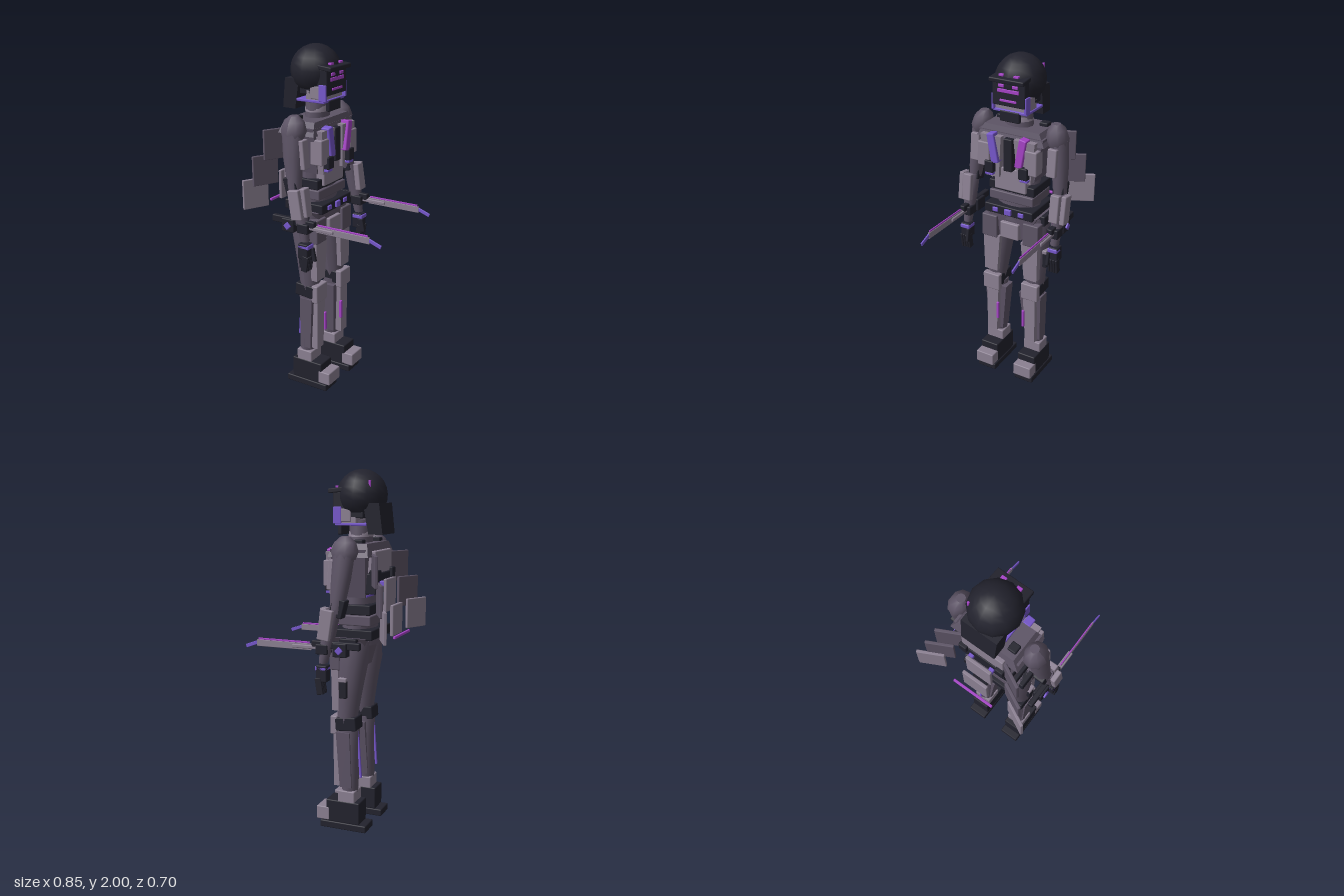
import * as THREE from 'three';
import { RoundedBoxGeometry } from 'three/addons/geometries/RoundedBoxGeometry.js';

// The figure faces +x; its sides lie along z.
export function createModel() {
  const root = new THREE.Group();
  root.name = 'armouredFigure';
  const mat = (name, color) => {
    const m = new THREE.MeshStandardMaterial({ color, side: THREE.DoubleSide });
    m.name = name;
    return m;
  };
  const light = mat('paleArmour', 0x8b8092);
  const mid = mat('greySuit', 0x5d5466);
  const dark = mat('darkArmour', 0x22222d);
  const violet = mat('violetTrim', 0x7657cc);
  const magenta = mat('magentaGlow', 0xa542c6);

  let parent = root, s = 1; // s mirrors z
  const group = (name, fn) => {
    const old = parent;
    parent = new THREE.Group();
    parent.name = name;
    old.add(parent);
    fn();
    parent = old;
  };
  const add = (name, m, geo) => {
    const mesh = new THREE.Mesh(geo, m);
    mesh.name = name;
    parent.add(mesh);
    return mesh;
  };
  // Bevelled box from its extents, turned about its centre
  const box = (name, m, [x0, x1], [y0, y1], [z0, z1], [rx, ry, rz] = [0, 0, 0]) => {
    const w = x1 - x0, h = y1 - y0, d = z1 - z0;
    const mesh = add(name, m, new RoundedBoxGeometry(w, h, d, 1, Math.min(0.006, Math.min(w, h, d) * 0.25)));
    mesh.position.set((x0 + x1) / 2, (y0 + y1) / 2, s * (z0 + z1) / 2);
    mesh.rotation.set(s * rx, s * ry, rz);
    return mesh;
  };
  // Tapered block: [y, x0, x1, z0, z1] for top and bottom
  const taper = (name, m, top, bottom) => {
    const g = new THREE.BoxGeometry(1, 1, 1).toNonIndexed(), p = g.attributes.position;
    for (let i = 0; i < p.count; i++) {
      const [y, x0, x1, z0, z1] = p.getY(i) > 0 ? top : bottom;
      const far = p.getZ(i) * s > 0;
      p.setXYZ(i, p.getX(i) > 0 ? x1 : x0, y, s * (far ? z1 : z0));
    }
    g.computeVertexNormals();
    return add(name, m, g);
  };
  // Oval limb through rings [x, y, z, rx, rz], top to bottom
  const loft = (name, m, rings, sides = 12) => {
    const n = rings.length - 1;
    const g = new THREE.CylinderGeometry(1, 1, 1, sides, n), p = g.attributes.position;
    for (let i = 0; i < p.count; i++) {
      const [x, y, z, rx, rz] = rings[Math.round((0.5 - p.getY(i)) * n)];
      p.setXYZ(i, x + p.getX(i) * rx, y, s * z + p.getZ(i) * rz);
    }
    g.computeVertexNormals();
    return add(name, m, g);
  };
  const sides = (name, fn) => {
    for (s of [1, -1]) group((s > 0 ? 'near' : 'far') + name, fn);
    s = 1;
  };

  group('head', () => {
    const shell = add('helmet', dark, new THREE.SphereGeometry(0.14, 12, 9, 0, Math.PI * 2, 0, Math.PI * 0.72));
    shell.position.set(-0.157, 1.86, 0);
    taper('neckGuard', dark, [1.82, -0.29, -0.2, -0.105, 0.105], [1.655, -0.31, -0.23, -0.1, 0.1]);
    box('brim', dark, [-0.09, 0.003], [1.875, 1.9], [-0.105, 0.105], [0, 0, -0.1]);
    box('face', dark, [-0.2, -0.025], [1.74, 1.88], [-0.1, 0.1]);
    box('jaw', light, [-0.16, -0.05], [1.7, 1.77], [-0.1, 0.1]);
    box('mouthGuard', dark, [-0.06, -0.035], [1.65, 1.71], [-0.06, 0.06]);
    box('chinTrim', violet, [-0.22, -0.04], [1.7, 1.715], [-0.105, 0.105]);
    box('visorStrip', magenta, [-0.03, -0.019], [1.815, 1.835], [-0.065, 0.065]);
    box('mouthStrip', magenta, [-0.03, -0.019], [1.765, 1.778], [-0.05, 0.05]);
    box('antenna', magenta, [-0.241, -0.229], [1.85, 1.94], [-0.1, -0.088]);
    loft('neck', mid, [[-0.15, 1.73, 0, 0.06, 0.07], [-0.15, 1.58, 0, 0.065, 0.085]]);
    loft('collar', light, [[-0.15, 1.67, 0, 0.063, 0.073], [-0.15, 1.64, 0, 0.067, 0.08]]);
    sides('FaceTrim', () => {
      box('cheekTrim', violet, [-0.075, -0.028], [1.71, 1.8], [0.093, 0.107]);
      box('eye', magenta, [-0.032, -0.017], [1.843, 1.86], [0.025, 0.06]);
      box('browLight', magenta, [-0.045, -0.022], [1.9, 1.912], [0.03, 0.06]);
      box('cheek', light, [-0.13, -0.07], [1.72, 1.79], [0.085, 0.105]);
    });
  });

  group('torso', () => {
    taper('chest', mid, [1.58, -0.25, -0.05, -0.2, 0.2], [1.32, -0.23, -0.06, -0.145, 0.145]);
    taper('yoke', mid, [1.61, -0.25, -0.06, -0.17, 0.17], [1.54, -0.27, -0.04, -0.21, 0.21]);
    loft('waist', mid, [[-0.15, 1.35, 0, 0.085, 0.13], [-0.15, 1.22, 0, 0.09, 0.13], [-0.15, 1.05, 0, 0.1, 0.14]], 16);
    box('sternum', dark, [-0.06, -0.015], [1.37, 1.56], [-0.027, 0.027]);
    box('abdomen', light, [-0.12, -0.045], [1.24, 1.375], [-0.1, 0.1]);
    box('ribBand', violet, [-0.235, -0.05], [1.32, 1.332], [-0.13, 0.13]);
    box('waistBand', dark, [-0.26, -0.06], [1.225, 1.28], [-0.145, 0.145]);
    box('lowerBand', mid, [-0.26, -0.055], [1.165, 1.22], [-0.14, 0.14]);
    box('belt', dark, [-0.275, -0.025], [1.09, 1.145], [-0.155, 0.155]);
    box('buckle', violet, [-0.03, -0.012], [1.1, 1.135], [-0.022, 0.022]);
    taper('pelvis', mid, [1.1, -0.24, -0.05, -0.17, 0.17], [0.93, -0.2, -0.07, -0.06, 0.06]);
    box('groinPlate', light, [-0.09, -0.035], [0.94, 1.04], [-0.06, 0.06]);
    sides('ChestArmour', () => {
      taper('chestPlate', light, [1.565, -0.07, -0.012, 0.04, 0.17], [1.32, -0.08, -0.025, 0.06, 0.14]);
      box('chestSidePlate', light, [-0.08, -0.005], [1.38, 1.52], [0.11, 0.185]);
      box('chestStrap', s > 0 ? violet : magenta, [-0.05, 0.002], [1.41, 1.58], [0.065, 0.11], [0.18, 0, 0]);
      box('chestPouch', dark, [-0.06, 0.008], [1.35, 1.42], [0.08, 0.135]);
      box('pouchTrim', violet, [-0.055, 0.002], [1.335, 1.35], [0.085, 0.135]);
      box('beltGem', violet, [-0.03, -0.016], [1.105, 1.13], [0.065, 0.1]);
      box('hipPouch', dark, [-0.2, -0.1], [1.04, 1.1], [0.145, 0.195]);
      box('shoulderClip', dark, [-0.22, -0.17], [1.6, 1.63], [0.11, 0.16]);
    });
  });

  group('backpack', () => {
    box('pack', dark, [-0.29, -0.22], [1.34, 1.45], [-0.14, 0.14]);
    box('packTop', light, [-0.285, -0.2], [1.45, 1.57], [-0.13, 0.13]);
    box('upperTailPlate', light, [-0.33, -0.31], [1.24, 1.42], [-0.08, 0.08]);
    box('lowerTailPlate', light, [-0.37, -0.35], [1.11, 1.28], [-0.08, 0.08]);
    box('tailBar', magenta, [-0.4, -0.385], [1.105, 1.12], [-0.13, 0.13]);
    sides('Wing', () => {
      box('wingMount', dark, [-0.305, -0.25], [1.41, 1.47], [0.09, 0.14]);
      box('thruster', violet, [-0.32, -0.285], [1.38, 1.41], [0.05, 0.08]);
      [[-0.3, 1.47, 0.19, mid], [-0.346, 1.325, 0.235, mid], [-0.384, 1.195, 0.28, light]].forEach(([x, y, z, m]) =>
        box('wingPanel', m, [x - 0.009, x + 0.009], [y - 0.085, y + 0.085], [z - 0.077, z + 0.077], [0, -0.47, 0]));
    });
  });

  sides('Arm', () => {
    loft('shoulder', mid, [[-0.15, 1.65, 0.225, 0.025, 0.025], [-0.15, 1.62, 0.23, 0.06, 0.05],
      [-0.15, 1.57, 0.235, 0.075, 0.063], [-0.15, 1.53, 0.24, 0.06, 0.055]], 9);
    loft('upperArm', mid, [[-0.15, 1.56, 0.245, 0.06, 0.05], [-0.14, 1.43, 0.26, 0.055, 0.047], [-0.12, 1.25, 0.275, 0.037, 0.037]]);
    box('armPlate', light, [-0.1, -0.065], [1.37, 1.53], [0.215, 0.27], [0, 0, 0.08]);
    box('elbow', dark, [-0.17, -0.095], [1.23, 1.33], [0.24, 0.305], [0, 0, 0.25]);
    loft('forearm', mid, [[-0.11, 1.27, 0.28, 0.037, 0.037], [-0.08, 1.14, 0.285, 0.042, 0.037], [-0.05, 0.98, 0.288, 0.025, 0.025]]);
    box('forearmPlate', light, [-0.065, -0.03], [1.12, 1.28], [0.255, 0.31], [0, 0, 0.12]);
    box('forearmShield', light, [-0.115, -0.045], [1.11, 1.275], [0.315, 0.345], [0, 0, 0.15]);
    box('forearmLight', magenta, [-0.04, -0.026], [1.12, 1.17], [0.268, 0.284]);
    box('cuff', dark, [-0.085, -0.015], [1.03, 1.085], [0.25, 0.32]);
    box('wristBand', violet, [-0.08, -0.012], [0.94, 0.965], [0.26, 0.32]);
    // Hand with four fingers and a thumb
    box('palm', dark, [-0.08, -0.018], [0.88, 0.97], [0.262, 0.32]);
    for (let i = 0; i < 4; i++)
      box('finger', dark, [-0.055, -0.018], [0.81, 0.9], [0.261 + i * 0.016, 0.274 + i * 0.016], [0, 0, -0.15]);
    box('thumb', dark, [-0.03, 0.0], [0.86, 0.94], [0.258, 0.276], [0, 0, 0.2]);
    // Wrist blade
    group('wristBlade', () => {
      box('bladeStock', dark, [-0.26, 0.015], [1.06, 1.1], [0.27, 0.3]);
      box('bladeHousing', dark, [-0.19, -0.11], [1.02, 1.095], [0.255, 0.312]);
      box('housingGem', violet, [-0.165, -0.132], [1.04, 1.073], [0.308, 0.322], [0, 0, 0.78]);
      box('bladeSleeve', light, [-0.03, 0.132], [1.052, 1.072], [0.271, 0.3]);
      box('blade', light, [0.02, 0.35], [1.043, 1.08], [0.28, 0.291]);
      box('bladeEdge', magenta, [0.03, 0.34], [1.08, 1.09], [0.282, 0.289]);
      box('bladeTip', violet, [0.342, 0.42], [1.042, 1.062], [0.281, 0.29], [0, 0, -0.35]);
    });
  });

  sides('Leg', () => {
    loft('thigh', mid, [[-0.15, 1.08, 0.105, 0.09, 0.08], [-0.15, 0.95, 0.115, 0.087, 0.085],
      [-0.135, 0.78, 0.122, 0.07, 0.07], [-0.125, 0.62, 0.13, 0.055, 0.055]]);
    box('upperThighPlate', mid, [-0.1, -0.04], [0.92, 1.06], [0.085, 0.185]);
    taper('thighPlate', light, [0.93, -0.09, -0.048, 0.07, 0.18], [0.69, -0.09, -0.052, 0.09, 0.175]);
    box('thighPouch', dark, [-0.15, -0.105], [0.77, 0.88], [0.17, 0.21]);
    box('pouchLid', light, [-0.15, -0.1], [0.86, 0.885], [0.172, 0.212]);
    box('kneeJoint', dark, [-0.195, -0.07], [0.58, 0.655], [0.075, 0.185], [0, 0, -0.08]);
    box('kneeCap', light, [-0.085, -0.045], [0.555, 0.66], [0.075, 0.185]);
    loft('shin', mid, [[-0.135, 0.6, 0.125, 0.06, 0.057], [-0.135, 0.48, 0.125, 0.06, 0.06], [-0.145, 0.21, 0.13, 0.045, 0.05]]);
    taper('calfPlate', mid, [0.57, -0.16, -0.08, 0.045, 0.19], [0.25, -0.17, -0.1, 0.08, 0.18]);
    taper('shinGuard', light, [0.56, -0.1, -0.055, 0.085, 0.165], [0.25, -0.1, -0.06, 0.1, 0.165]);
    box('shinLight', magenta, [-0.062, -0.046], [0.35, 0.465], [0.08, 0.097]);
    box('calfTrim', violet, [-0.203, -0.19], [0.3, 0.58], [0.12, 0.134], [0, 0, -0.07]);
    box('ankle', light, [-0.19, -0.09], [0.16, 0.23], [0.075, 0.187]);
    // Boot
    box('boot', dark, [-0.22, -0.02], [0.04, 0.168], [0.073, 0.19]);
    box('toeCap', light, [-0.04, 0.038], [0.045, 0.122], [0.073, 0.192]);
    box('sole', dark, [-0.26, 0.015], [0, 0.04], [0.07, 0.193]);
  });

  return root;
}
